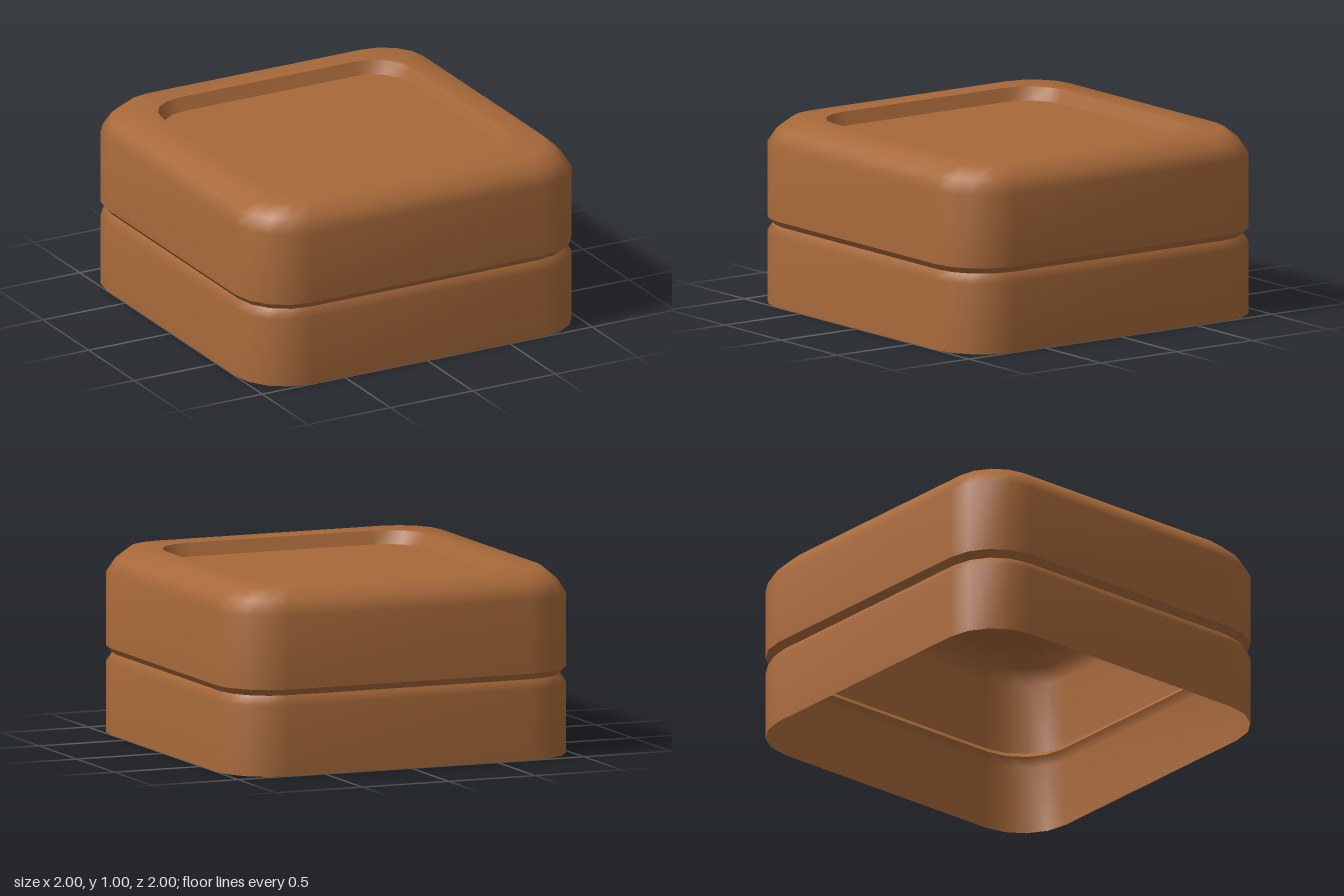
import * as THREE from 'three';

const SEG = 4; // segments per rounded corner

// Rounded-square outline as one horizontal ring
function ring(half, radius, y) {
  const pts = [];
  const c = half - radius;
  for (let k = 0; k < 4; k++) {
    const mid = Math.PI / 4 + k * Math.PI / 2;
    const cx = Math.sign(Math.cos(mid)) * c;
    const cz = -Math.sign(Math.sin(mid)) * c;
    for (let i = 0; i <= SEG; i++) {
      const a = (k + i / SEG) * Math.PI / 2;
      pts.push(cx + radius * Math.cos(a), y, cz - radius * Math.sin(a));
    }
  }
  return pts;
}

// Smooth band through successive [half, radius, y] sections
function band(sections) {
  const n = 4 * (SEG + 1);
  const index = [];
  for (let s = 0; s < sections.length - 1; s++) {
    for (let i = 0; i < n; i++) {
      const a = s * n + i, b = s * n + (i + 1) % n;
      index.push(a, b, b + n, a, b + n, a + n);
    }
  }
  const geo = new THREE.BufferGeometry();
  geo.setAttribute('position', new THREE.Float32BufferAttribute(sections.flatMap((s) => ring(...s)), 3));
  geo.setIndex(index);
  geo.computeVertexNormals();
  return geo;
}

export function createModel() {
  const group = new THREE.Group();
  group.name = 'roundedBox';
  const brown = new THREE.MeshStandardMaterial({ color: 0xa8693a, side: THREE.DoubleSide });
  brown.name = 'brown';

  // Bands are separate where the edge between them is sharp
  const parts = {
    // open-bottomed base with the lower slope of the groove
    base: [[1, 0.3, 0], [1, 0.3, 0.38], [0.97, 0.28, 0.43]],
    grooveUpper: [[0.97, 0.28, 0.43], [1, 0.3, 0.465]],
    // lid wall, rounded shoulder and flat rim
    lid: [[1, 0.3, 0.465], [1, 0.3, 0.86], [0.955, 0.27, 0.935], [0.89, 0.24, 0.995], [0.755, 0.225, 0.995]],
    recessWall: [[0.755, 0.225, 0.995], [0.725, 0.205, 0.925]],
    recessFloor: [[0.725, 0.205, 0.925], [0, 0, 0.925]],
  };
  for (const [name, sections] of Object.entries(parts)) {
    const mesh = new THREE.Mesh(band(sections), brown);
    mesh.name = name;
    group.add(mesh);
  }
  return group;
}
